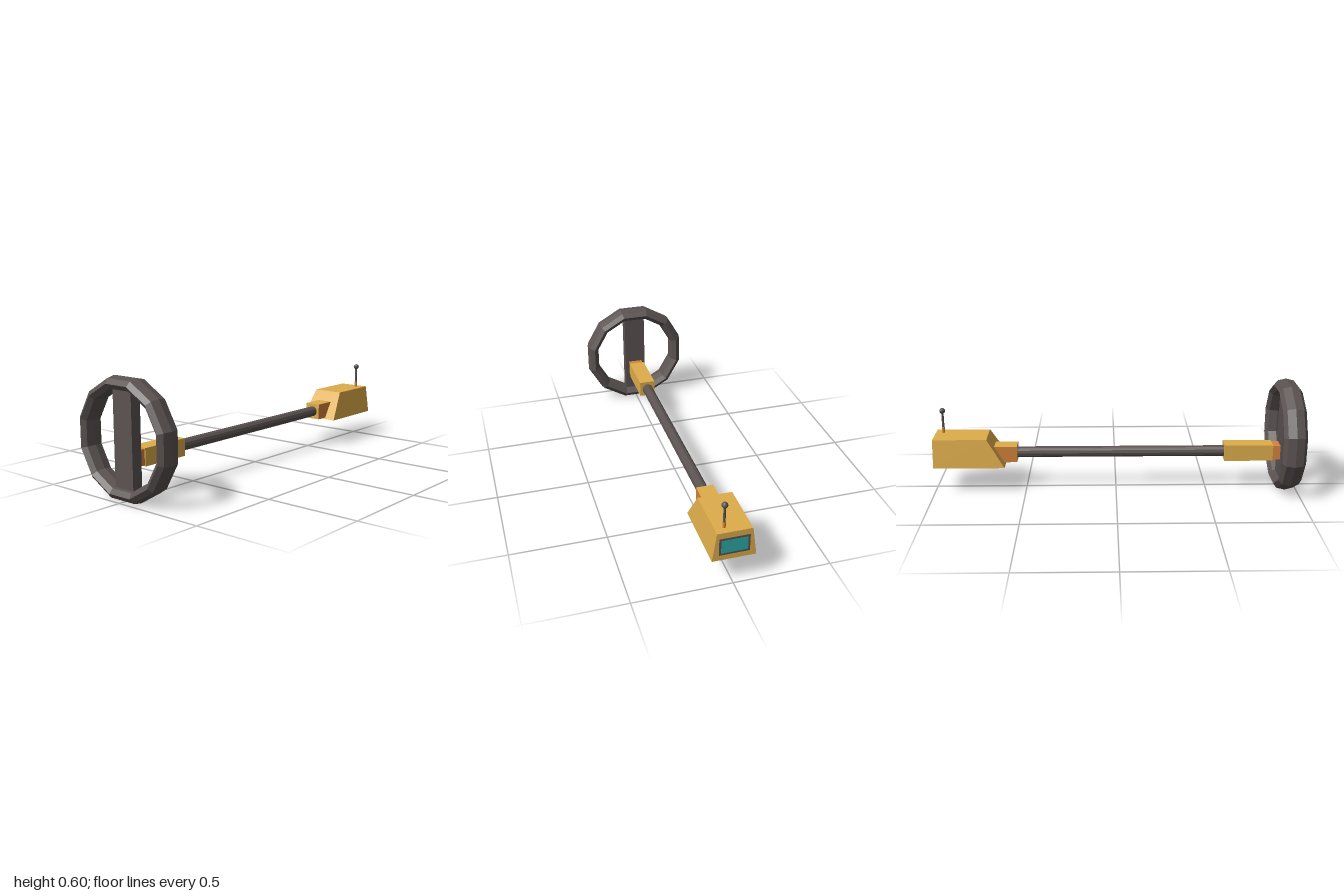
import * as THREE from 'three';

const mat = (name, color) => {
  const m = new THREE.MeshStandardMaterial({ color, flatShading: true });
  m.name = name;
  return m;
};

export function createModel() {
  const yellow = mat('yellow', 0xdfad4c);
  const orange = mat('orange', 0xd5843c);
  const dark = mat('dark grey', 0x5b5352);
  const teal = mat('teal', 0x2ca9a9);

  const group = new THREE.Group();
  group.name = 'detector';
  const add = (name, geo, material, x = 0, y = 0, z = 0) => {
    const m = new THREE.Mesh(geo, material);
    m.name = name;
    m.position.set(x, y, z);
    group.add(m);
    return m;
  };
  const box = (w, h, d) => new THREE.BoxGeometry(w, h, d);

  // Search coil: twelve-sided ring, stretched in depth
  const apothem = Math.cos(Math.PI / 12);
  const ring = new THREE.TorusGeometry(0.2645 / apothem, 0.034 / apothem, 8, 12);
  ring.rotateZ(Math.PI / 12);
  ring.scale(1, 1, 0.0625 * apothem / 0.034);
  add('coilRing', ring, dark, 0, 0.2985, 0.9375);
  add('coilBar', box(0.124, 0.475, 0.056), dark, 0, 0.2985, 0.9375);

  // Shaft with a sleeve at the coil end and a joint at the control box
  const shaft = new THREE.CylinderGeometry(0.03, 0.03, 1.2, 12);
  shaft.rotateX(Math.PI / 2);
  add('shaft', shaft, dark, 0, 0.205, 0.025);
  add('coilSleeve', box(0.09, 0.09, 0.268), yellow, 0, 0.205, 0.734);
  add('coilConnector', box(0.08, 0.08, 0.046), orange, 0, 0.205, 0.889);
  add('boxJoint', box(0.09, 0.09, 0.14),
    [orange, orange, yellow, orange, yellow, orange], 0, 0.205, -0.615);

  // Control box: sides lean in, front slopes back
  const housing = box(0.22, 0.156, 0.388);
  const p = housing.attributes.position;
  for (let i = 0; i < p.count; i++) {
    if (p.getY(i) > 0) {
      p.setX(i, p.getX(i) * 0.8);
      if (p.getZ(i) > 0) p.setZ(i, p.getZ(i) - 0.095);
    }
  }
  housing.computeVertexNormals();
  add('controlBox', housing, yellow, 0, 0.229, -0.803);

  // Display on the back
  add('displayFrame', box(0.152, 0.094, 0.004), dark, 0, 0.228, -0.997);
  add('displayScreen', box(0.132, 0.072, 0.004), teal, 0, 0.228, -0.998);

  // Antenna
  add('antennaBase', new THREE.CylinderGeometry(0.008, 0.008, 0.035, 8), orange, 0.04, 0.322, -0.955);
  add('antennaRod', new THREE.CylinderGeometry(0.0065, 0.0065, 0.1, 8), dark, 0.04, 0.385, -0.955);
  add('antennaTip', new THREE.SphereGeometry(0.016, 10, 8), dark, 0.04, 0.433, -0.955);

  return group;
}
